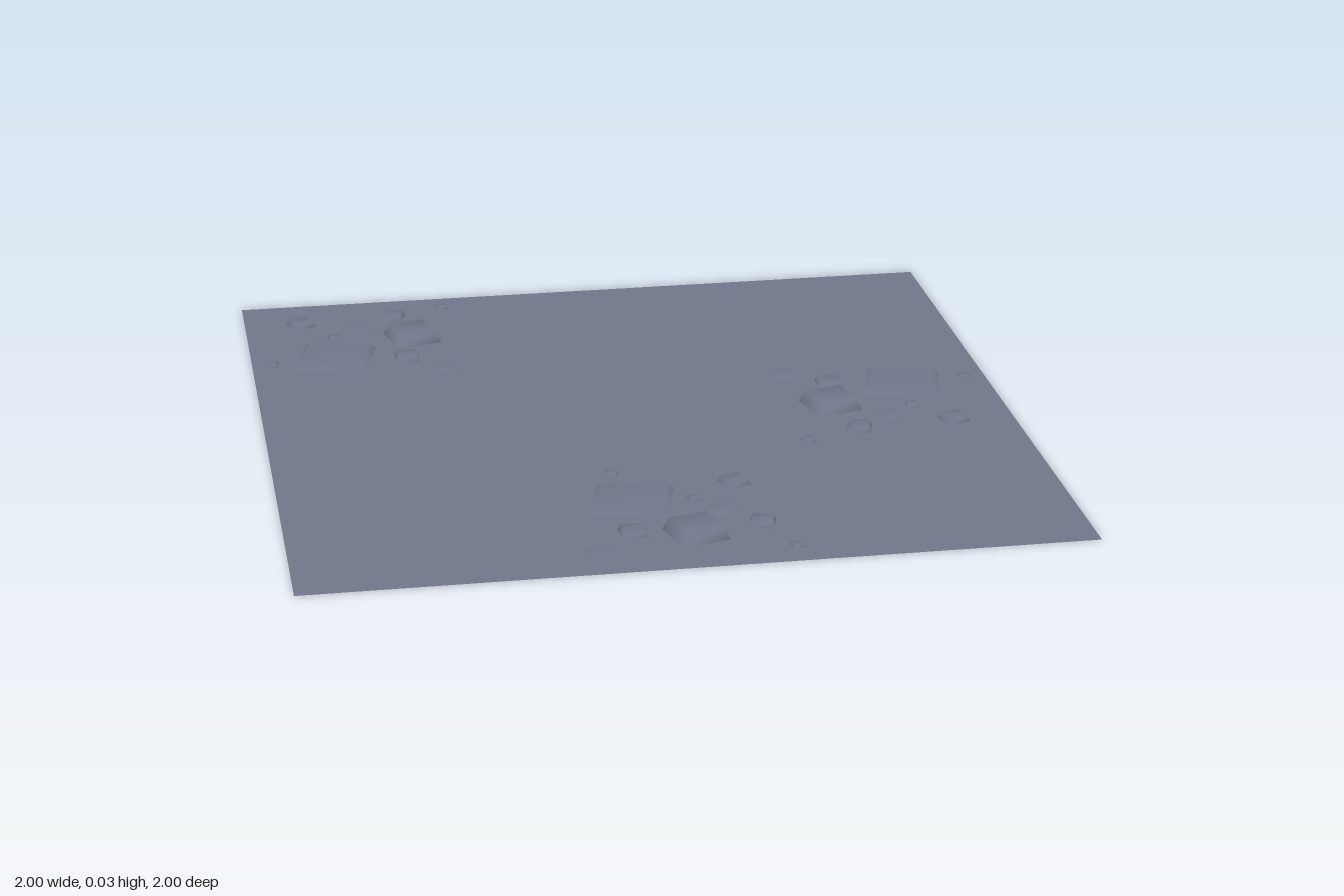
import * as THREE from 'three';
import { mergeVertices } from 'three/addons/utils/BufferGeometryUtils.js';

const slate = new THREE.MeshStandardMaterial({ color: 0x70768a, side: THREE.DoubleSide });
slate.name = 'slate grey';

// Unit stone: a tapered block without a base, smooth across its edges
function stoneGeometry(taper) {
  const box = new THREE.BoxGeometry(1, 1, 1).translate(0, 0.5, 0);
  const pos = box.attributes.position;
  for (let i = 0; i < pos.count; i++) {
    if (pos.getY(i) > 0.5) pos.setXYZ(i, pos.getX(i) * taper, 1, pos.getZ(i) * taper);
  }
  const faces = Array.from(box.index.array);
  faces.splice(18, 6); // drop the bottom face
  box.setIndex(faces);
  box.clearGroups();
  box.deleteAttribute('uv');
  box.deleteAttribute('normal');
  const stone = mergeVertices(box);
  stone.computeVertexNormals();
  return stone;
}

// name, x, z (from the tall stone), width, height, turn in degrees
const STONES = [
  ['tallStone', 0, 0, 0.13, 0.032, 14],
  ['broadSlab', -0.125, -0.23, 0.2, 0.014, -14],
  ['smallStone', -0.155, -0.03, 0.068, 0.015, 0],
  ['smallStone', 0.175, -0.04, 0.064, 0.015, -16],
  ['smallStone', 0.155, -0.305, 0.064, 0.015, 22],
  ['lowStone', 0.095, -0.145, 0.062, 0.006, 14],
  ['lowStone', -0.25, 0.07, 0.062, 0.006, 14],
  ['pebble', 0.035, -0.22, 0.033, 0.008, 0],
  ['pebble', -0.15, -0.41, 0.033, 0.008, -12],
  ['pebble', 0.235, 0.11, 0.033, 0.008, 14],
];

// x, z and quarter turns of each cluster
const CLUSTERS = [
  [0.015, 0.8, 0],
  [0.53, 0.012, -1],
  [-0.535, -0.69, 1],
];

export function createModel() {
  const model = new THREE.Group();
  model.name = 'stonyGround';

  // Flat ground sheet
  const ground = new THREE.Mesh(new THREE.PlaneGeometry(2, 2).rotateX(-Math.PI / 2), slate);
  ground.name = 'ground';
  model.add(ground);

  // Three copies of one stone cluster
  const geometry = stoneGeometry(0.8);
  for (const [cx, cz, quarter] of CLUSTERS) {
    const cluster = new THREE.Group();
    cluster.name = 'stoneCluster';
    cluster.position.set(cx, 0, cz);
    cluster.rotation.y = quarter * Math.PI / 2;
    for (const [name, x, z, width, height, turn] of STONES) {
      const stone = new THREE.Mesh(geometry, slate);
      stone.name = name;
      stone.position.set(x, 0, z);
      stone.scale.set(width, height, width);
      stone.rotation.y = THREE.MathUtils.degToRad(turn);
      cluster.add(stone);
    }
    model.add(cluster);
  }
  return model;
}
